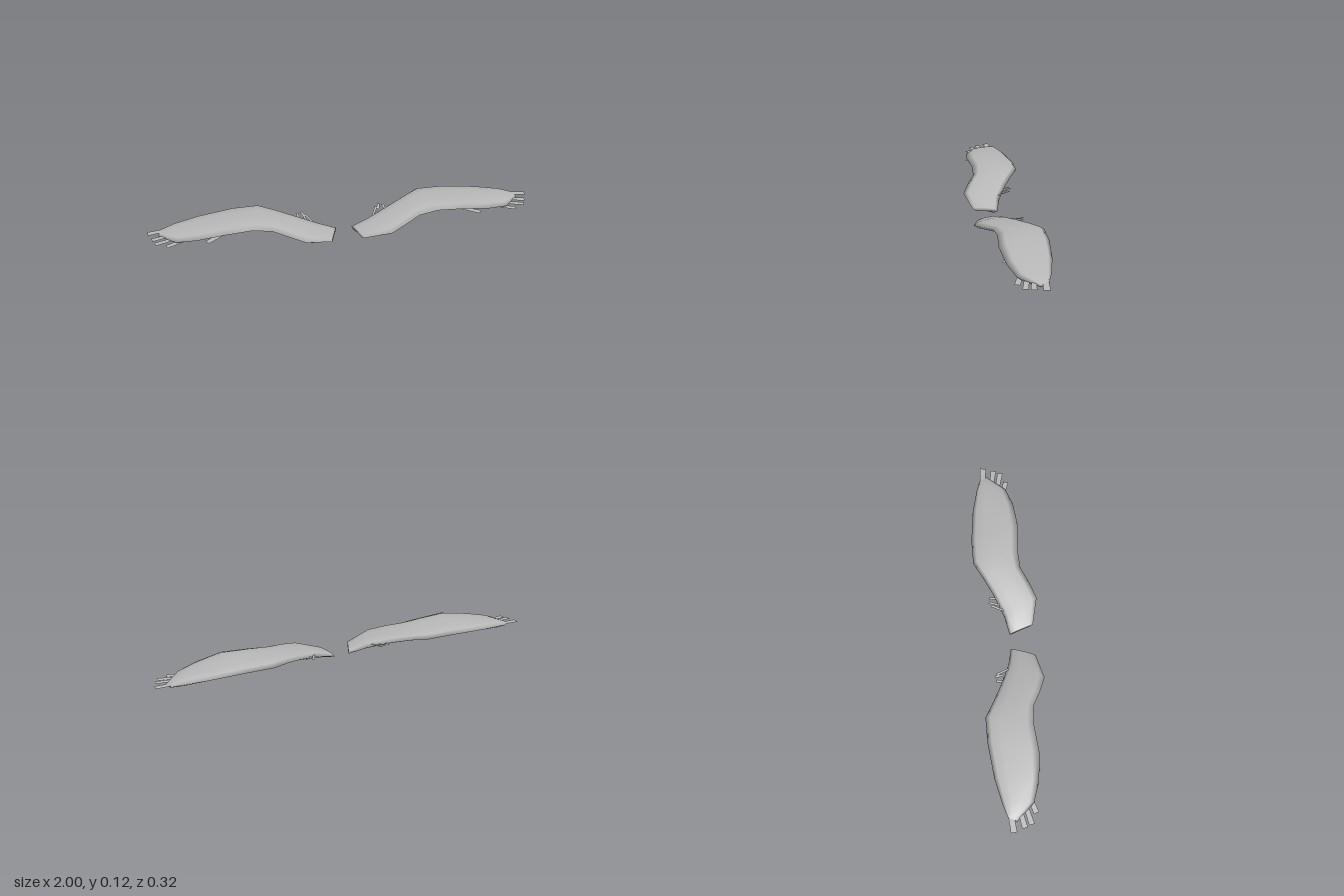
import * as THREE from 'three';

// Stations from inner to outer end: rear edge x, y, z then front edge x, y, z
const STATIONS = [
  [0.04, 0.02, 0.0, 0.085, 0.025, 0.125],
  [0.13, 0.045, -0.02, 0.22, 0.058, 0.157],
  [0.25, 0.075, -0.07, 0.30, 0.08, 0.125],
  [0.34, 0.092, -0.115, 0.38, 0.10, 0.085],
  [0.42, 0.103, -0.16, 0.48, 0.113, 0.078],
  [0.55, 0.103, -0.16, 0.62, 0.114, 0.092],
  [0.73, 0.09, -0.14, 0.76, 0.09, 0.078],
  [0.86, 0.077, -0.11, 0.86, 0.07, 0.045],
  [0.92, 0.068, -0.09, 0.945, 0.06, -0.045],
];
// Section ring: fraction from rear to front, height over the edge line
const RING = [
  [0, 0], [0.09, 0.016], [0.3, 0.02], [0.6, 0.02], [0.86, 0.015],
  [1, 0], [0.86, -0.018], [0.5, -0.008], [0.14, -0.016],
];

// Indexed geometry; mirrored sides get reversed corners
function makeGeometry(points, faces, side) {
  const g = new THREE.BufferGeometry();
  g.setAttribute('position', new THREE.Float32BufferAttribute(
    points.flatMap(([x, y, z]) => [x * side, y, z]), 3));
  g.setIndex(faces.flatMap(([a, b, c]) => (side > 0 ? [a, b, c] : [a, c, b])));
  g.computeVertexNormals();
  return g;
}

// Arched body lofted through the stations
function bodyGeometry(side) {
  const pts = [], faces = [], n = RING.length, last = STATIONS.length - 1;
  STATIONS.forEach(([xr, yr, zr, xf, yf, zf], s) => {
    const k = s === 0 ? 0.6 : s === last ? 0.4 : 1;
    for (const [t, h] of RING) {
      pts.push([xr + (xf - xr) * t, yr + (yf - yr) * t + h * k, zr + (zf - zr) * t]);
    }
  });
  for (let s = 0; s < last; s++) {
    for (let i = 0; i < n; i++) {
      const a = s * n + i, b = s * n + (i + 1) % n;
      faces.push([a, b, a + n], [b, b + n, a + n]);
    }
  }
  for (let i = 1; i < n - 1; i++) {
    faces.push([0, i + 1, i], [last * n, last * n + i, last * n + i + 1]);
  }
  return makeGeometry(pts, faces, side);
}

// Flat tapering strip between two points
function stripGeometry(a, b, width, side) {
  const dx = b[0] - a[0], dz = b[2] - a[2], l = Math.hypot(dx, dz);
  const ox = -dz / l * width / 2, oz = dx / l * width / 2;
  return makeGeometry([
    [a[0] + ox * 0.7, a[1], a[2] + oz * 0.7], [a[0] - ox * 0.7, a[1], a[2] - oz * 0.7],
    [b[0] - ox, b[1], b[2] - oz], [b[0] + ox, b[1], b[2] + oz],
  ], [[0, 2, 1], [0, 3, 2]], side);
}

const STRIPS = [
  [[0.80, 0.078, -0.085], [0.998, 0.066, -0.065], 0.032],
  [[0.80, 0.072, -0.045], [0.98, 0.063, -0.01], 0.028],
  [[0.78, 0.068, -0.02], [0.965, 0.06, 0.025], 0.028],
  [[0.75, 0.068, 0.0], [0.91, 0.057, 0.052], 0.028],
  [[0.56, 0.076, -0.02], [0.71, 0.074, 0.078], 0.03],
];
// Small tuft along the rear edge near the inner end
const TUFT = [
  [[0.16, 0.062, -0.02], [0.19, 0.07, -0.085]],
  [[0.19, 0.065, -0.04], [0.205, 0.08, -0.095]],
  [[0.23, 0.07, -0.05], [0.225, 0.078, -0.09]],
];

export function createModel() {
  const model = new THREE.Group();
  const grey = new THREE.MeshStandardMaterial({ color: 0xb8b8b8, side: THREE.DoubleSide });
  grey.name = 'grey';

  for (const side of [1, -1]) {
    const half = new THREE.Group();
    half.name = side > 0 ? 'leftHalf' : 'rightHalf';
    const add = (name, geometry) => {
      const mesh = new THREE.Mesh(geometry, grey);
      mesh.name = name;
      half.add(mesh);
    };
    add('archedBody', bodyGeometry(side));
    STRIPS.forEach(([a, b, w], i) => add('strip' + (i + 1), stripGeometry(a, b, w, side)));
    TUFT.forEach(([a, b], i) => add('tuft' + (i + 1), stripGeometry(a, b, 0.014, side)));
    model.add(half);
  }

  // Stand on the ground
  model.position.y = -new THREE.Box3().setFromObject(model).min.y;
  return model;
}
